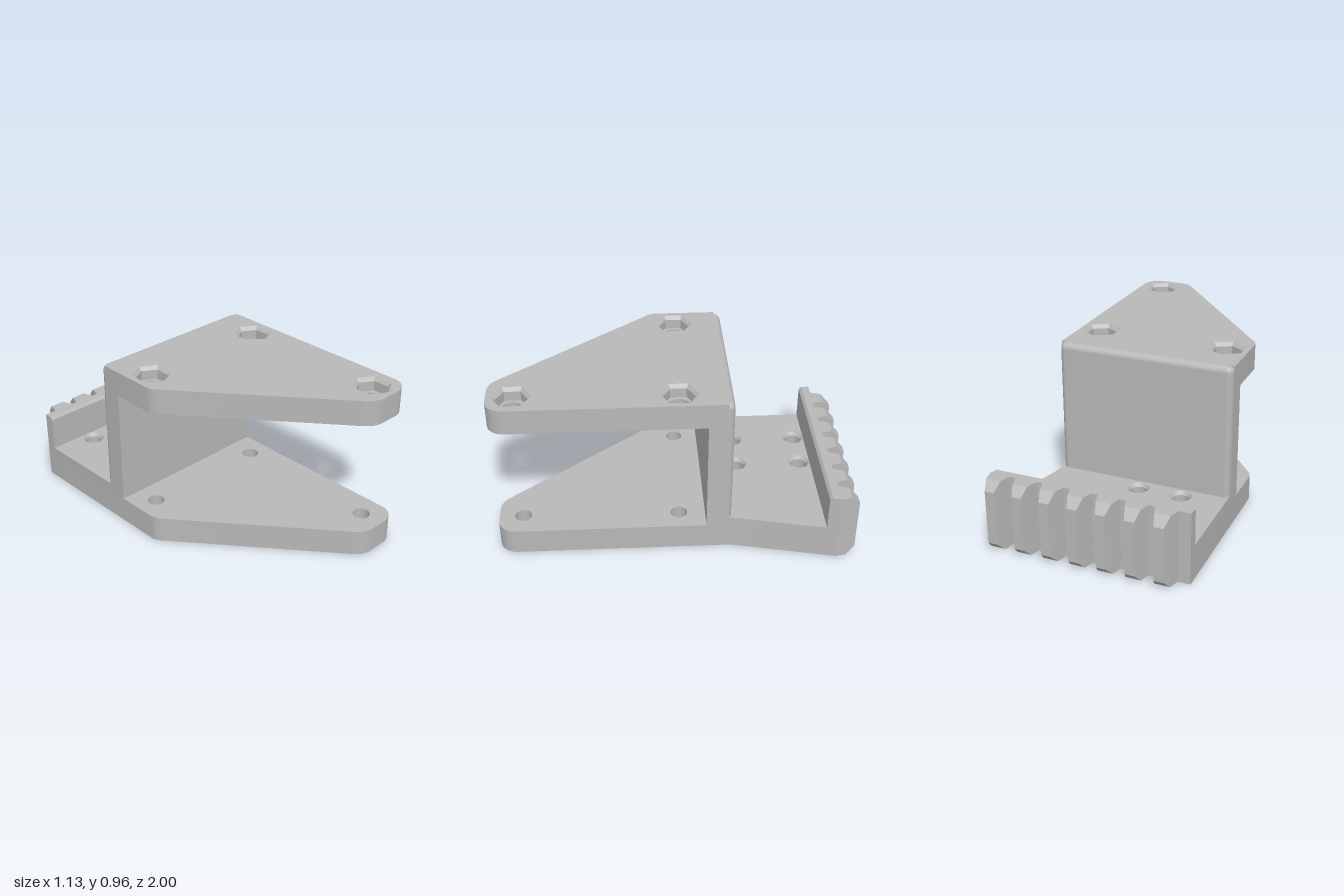
import * as THREE from 'three';
import { toCreasedNormals } from 'three/addons/utils/BufferGeometryUtils.js';
import { RoundedBoxGeometry } from 'three/addons/geometries/RoundedBoxGeometry.js';
import { ConvexGeometry } from 'three/addons/geometries/ConvexGeometry.js';

const L = -0.57, R = 0.435;
const bolts = [[-0.445, -0.03], [0.31, -0.02], [0.295, 0.865]];
const screws = [[-0.32, -0.765], [-0.068, -0.765], [-0.32, -0.385], [-0.068, -0.385]];
// slanted right edge of the rear plate
const edge = (z) => R + (-0.31 - z) * 0.22;

export function createModel() {
  const group = new THREE.Group();
  const grey = new THREE.MeshStandardMaterial({ color: 0xb8b8b8 });
  grey.name = 'light grey';

  const add = (name, geometry) => {
    const mesh = new THREE.Mesh(geometry, grey);
    mesh.name = name;
    group.add(mesh);
    return mesh;
  };

  // polygon in plan coordinates (x, z)
  const polygon = (points, Type = THREE.Shape) =>
    new Type(points.map(([x, z]) => new THREE.Vector2(x, -z)));
  // round or hexagonal hole with a corner on the z axis
  const hole = (r, n = 28) => ([cx, cz]) => polygon(
    Array.from({ length: n }, (_, i) => {
      const a = (i / n) * Math.PI * 2;
      return [cx + r * Math.sin(a), cz + r * Math.cos(a)];
    }), THREE.Path);

  // horizontal slab between two heights
  const slab = (name, shape, y0, y1, holes) => {
    shape.holes = holes;
    const g = new THREE.ExtrudeGeometry(shape, { depth: y1 - y0, bevelEnabled: false, curveSegments: 10 });
    g.rotateX(-Math.PI / 2).translate(0, y0, 0);
    add(name, toCreasedNormals(g, 0.5));
  };

  // sloping rim inside a hole, listed from the upper to the lower edge
  const rims = (name, centres, rTop, yTop, rLow, yLow, n = 28) => centres.forEach(([x, z]) => {
    const g = new THREE.LatheGeometry([new THREE.Vector2(rTop, yTop), new THREE.Vector2(rLow, yLow)], n);
    add(name, toCreasedNormals(g, 0.5)).position.set(x, 0, z);
  });

  // tapered plate outline, with a straight or a widened rear end
  const outline = (rear) => {
    const s = new THREE.Shape();
    s.moveTo(L, -0.07);
    s.quadraticCurveTo(L, -0.105, -0.535, -0.14);
    s.lineTo(0.125, -0.945);
    s.quadraticCurveTo(0.17, -1, 0.225, -1);
    s.lineTo(0.335, -1);
    s.absarc(0.335, -0.9, 0.1, -Math.PI / 2, 0, false);
    rear.forEach(([x, z]) => s.lineTo(x, -z));
    s.closePath();
    return s;
  };
  const longRear = [[R, -0.31], [edge(-0.89), -0.89], [L, -0.89]];
  const shortRear = [[R, -0.2], [L, -0.2]];

  // lower plate: shallow square recess and counterbored holes underneath
  const all = [...bolts, ...screws];
  const recess = polygon([[-0.31, -0.14], [0.18, -0.14], [0.18, 0.345], [-0.31, 0.345]], THREE.Path);
  slab('lowerPlateUnderside', outline(longRear), 0, 0.02, [...all.map(hole(0.095)), recess]);
  slab('lowerPlateCore', outline(longRear), 0.02, 0.08, all.map(hole(0.075)));
  slab('lowerPlateTop', outline(longRear), 0.08, 0.15, all.map(hole(0.048)));
  rims('counterboreRim', all, 0.075, 0.02, 0.095, 0);

  // thicker rear floor with countersunk screw holes
  const floor = () => polygon([[L, -0.2], [R, -0.2], [R, -0.31], [edge(-0.835), -0.835], [L, -0.835]]);
  slab('rearFloor', floor(), 0.15, 0.18, screws.map(hole(0.048)));
  slab('rearFloorTop', floor(), 0.18, 0.2, screws.map(hole(0.062)));
  rims('screwHoleRim', screws, 0.062, 0.2, 0.048, 0.18);

  // upper plate with hexagonal nut pockets
  slab('upperPlate', outline(shortRear), 0.815, 0.885, bolts.map(hole(0.058)));
  slab('upperPlatePockets', outline(shortRear), 0.885, 0.94, bolts.map(hole(0.088, 6)));
  slab('upperPlateTop', outline(shortRear), 0.94, 0.96, bolts.map(hole(0.108, 6)));
  rims('nutPocketRim', bolts, 0.108, 0.96, 0.088, 0.94, 6);

  // upright wall, rounded on its rear edges
  const mid = (L + R) / 2;
  add('wall', new THREE.BoxGeometry(R - L, 0.81, 0.105)).position.set(mid, 0.555, -0.2225);
  add('wallRoundedBack', new RoundedBoxGeometry(R - L, 0.86, 0.11, 4, 0.035)).position.set(mid, 0.53, -0.255);

  // rack rail, its right end following the slanted edge
  const profile = new THREE.Shape([[0.83, 0.15], [0.89, 0.15], [0.89, 0.41], [0.845, 0.41], [0.83, 0.395]]
    .map(([a, y]) => new THREE.Vector2(a, y)));
  const rail = new THREE.ExtrudeGeometry(profile, { depth: 1, bevelEnabled: false });
  rail.rotateY(Math.PI / 2);
  const p = rail.attributes.position;
  for (let i = 0; i < p.count; i++) p.setX(i, p.getX(i) > 0.5 ? edge(p.getZ(i)) : L);
  rail.computeVertexNormals();
  add('rackRail', rail);

  // rack teeth with chamfered ends
  for (let i = 0; i < 7; i++) {
    const cx = -0.44 + i * 0.1582;
    const points = [];
    for (const s of [-1, 1]) {
      for (const [w, z, y0, y1] of [[0.06, -0.885, 0, 0.41], [0.06, -0.892, 0, 0.41],
        [0.043, -0.95, 0, 0.41], [0.027, -1, 0.05, 0.36]]) {
        const x = Math.min(cx + s * w, edge(-0.89));
        points.push(new THREE.Vector3(x, y0, z), new THREE.Vector3(x, y1, z));
      }
    }
    add('rackTooth', new ConvexGeometry(points));
  }
  return group;
}
